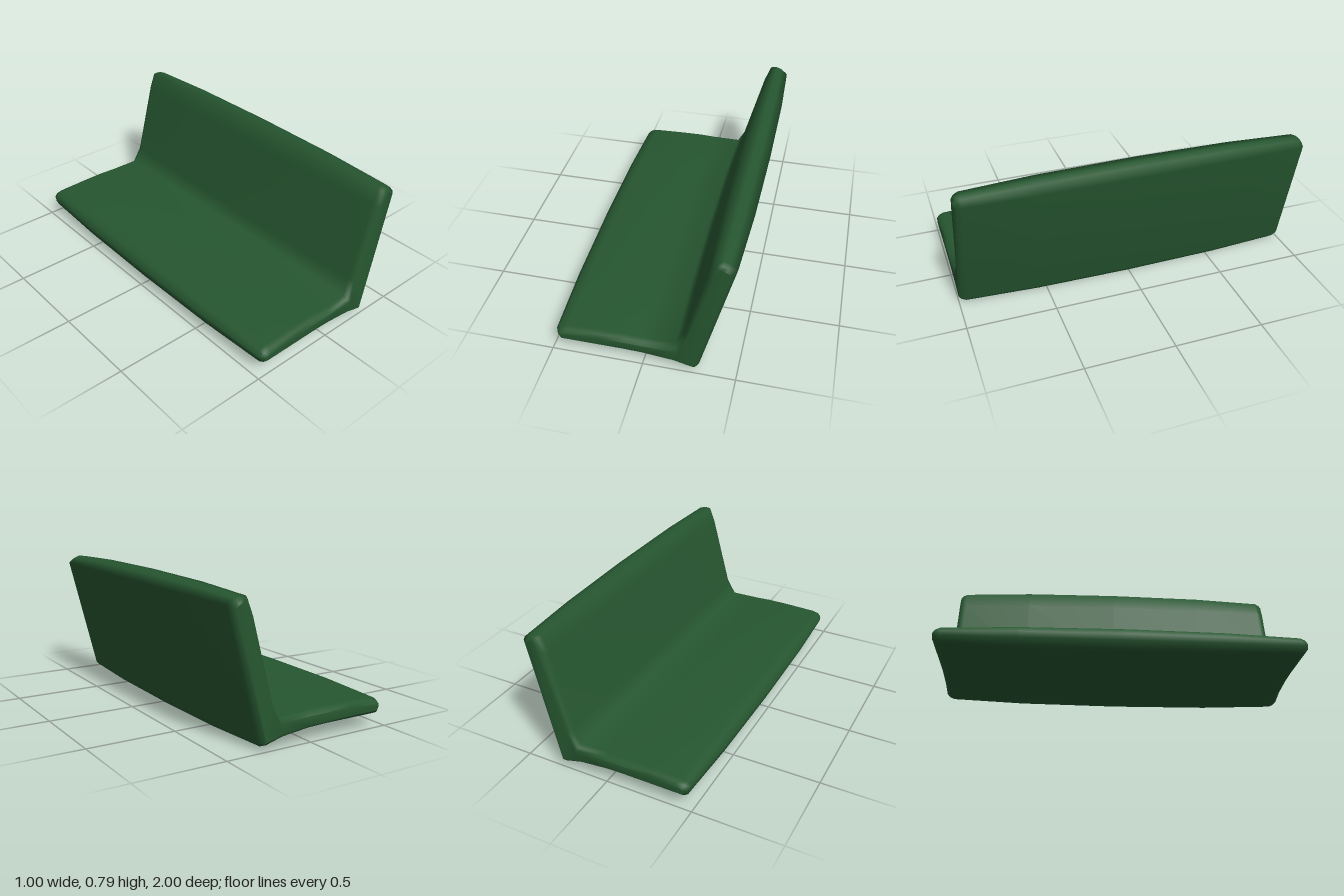
import * as THREE from 'three';

// Side profile of the bench cushion, counter-clockwise seen from the front
const PROFILE = [
  [-0.5, 0.13], [-0.495, 0.095], [-0.475, 0.055], [-0.445, 0.048], [-0.1, 0.048],
  [0, 0.045], [0.16, 0.028], [0.26, 0.001], [0.295, 0.001], [0.317, 0.03],
  [0.498, 0.74], [0.45, 0.78], [0.41, 0.795], [0.355, 0.79], [0.315, 0.685],
  [0.2, 0.255], [0.16, 0.18], [0, 0.182], [-0.1, 0.187], [-0.25, 0.185],
  [-0.42, 0.18], [-0.47, 0.168],
].map(([x, y]) => new THREE.Vector2(x, y));

// Half the length: [z, inset of the profile]; the cushion swells towards the middle
const HALF = [[1, 0.045], [0.985, 0.03], [0.96, 0.02], [0.55, 0.005]];
const RINGS = [
  ...HALF.map(([z, d]) => [-z, d]),
  [0, 0],
  ...HALF.slice().reverse(),
];

// Move every profile edge inwards by d, with mitred corners
function insetProfile(d) {
  const n = PROFILE.length;
  const inward = (a, b) => new THREE.Vector2(a.y - b.y, b.x - a.x).normalize();
  return PROFILE.map((p, i) => {
    const n1 = inward(PROFILE[(i + n - 1) % n], p);
    const n2 = inward(p, PROFILE[(i + 1) % n]);
    const miter = n1.clone().add(n2).divideScalar(1 + n1.dot(n2));
    return p.clone().addScaledVector(miter, d);
  });
}

function cushionGeometry() {
  const n = PROFILE.length;
  const last = (RINGS.length - 1) * n;
  const positions = [];
  const index = [];

  // Cross-sections; the backrest ends slightly short of the seat
  for (const [z, d] of RINGS) {
    for (const p of insetProfile(d)) {
      positions.push(p.x, p.y, z * (p.y > 0.2 ? 0.99 : 1));
    }
  }

  // Skin between neighbouring cross-sections
  for (let r = 0; r < RINGS.length - 1; r++) {
    for (let i = 0; i < n; i++) {
      const j = (i + 1) % n;
      const a = r * n + i, b = r * n + j;
      index.push(a, b, b + n, a, b + n, a + n);
    }
  }

  // End caps
  for (const [a, b, c] of THREE.ShapeUtils.triangulateShape(insetProfile(HALF[0][1]), [])) {
    index.push(last + a, last + b, last + c, a, c, b);
  }

  const geometry = new THREE.BufferGeometry();
  geometry.setAttribute('position', new THREE.Float32BufferAttribute(positions, 3));
  geometry.setIndex(index);
  geometry.computeVertexNormals();
  return geometry;
}

export function createModel() {
  const green = new THREE.MeshStandardMaterial({ color: 0x265630 });
  green.name = 'dark green upholstery';

  const model = new THREE.Group();
  model.name = 'benchSeat';
  const cushion = new THREE.Mesh(cushionGeometry(), green);
  cushion.name = 'seatAndBackrest';
  model.add(cushion);
  return model;
}
